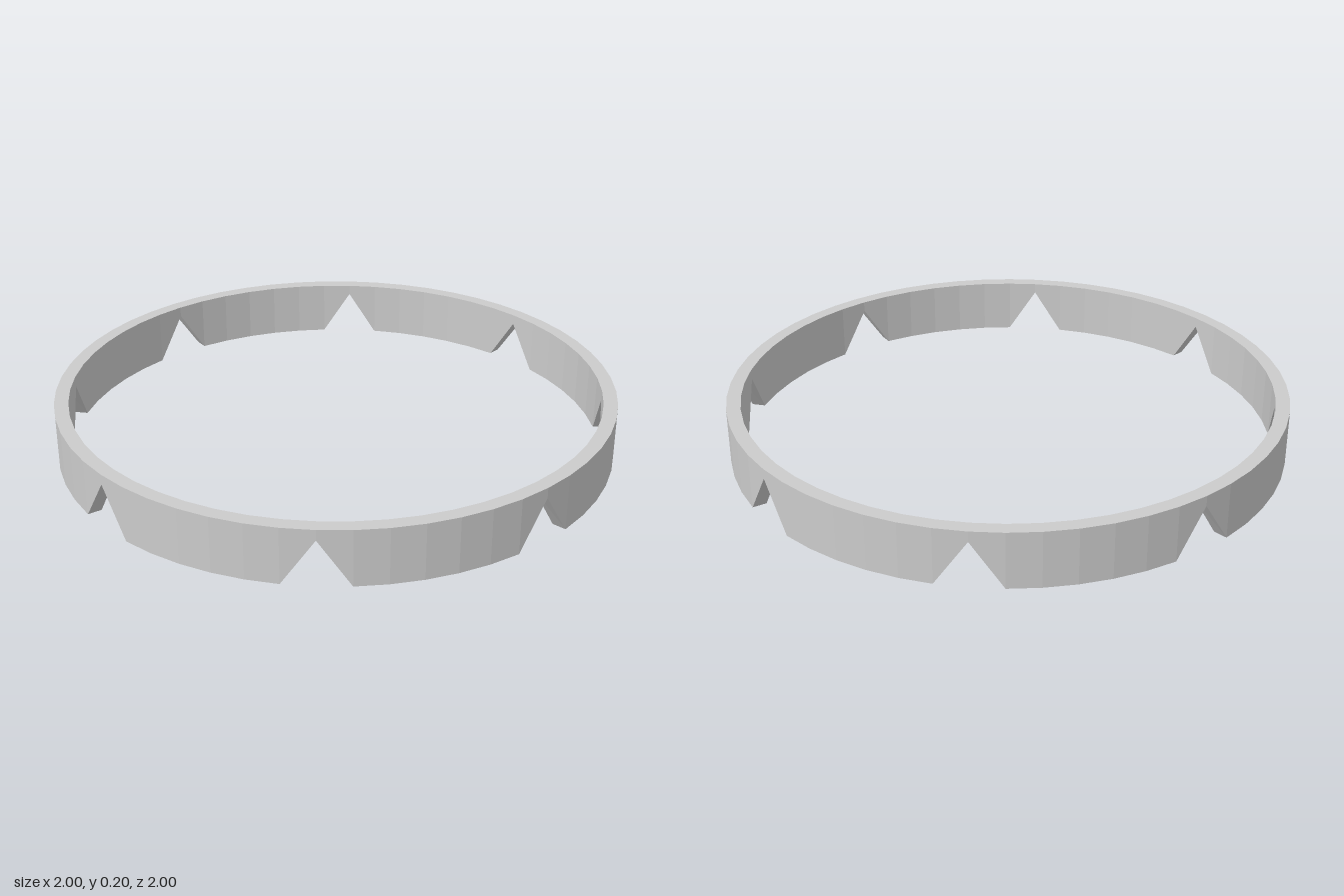
import * as THREE from 'three';

const SECTORS = 8;      // V-shaped notches around the ring
const PER_SECTOR = 7;   // facets per sector, two of them flank each notch
const OUTER = 1, INNER = 0.95, HEIGHT = 0.2, NOTCH = 0.163;

export function createModel() {
  const group = new THREE.Group();
  group.name = 'notchedRing';

  const count = SECTORS * PER_SECTOR;
  const positions = [], indices = [];

  // Four-point cross-section per column; the bottom rises at each notch peak
  for (let i = 0; i < count; i++) {
    const a = (i / count) * Math.PI * 2;
    const bottom = i % PER_SECTOR === 0 ? NOTCH : 0;
    const section = [[OUTER, bottom], [OUTER, HEIGHT], [INNER, HEIGHT], [INNER, bottom]];
    for (const [r, y] of section) positions.push(r * Math.sin(a), y, r * Math.cos(a));
  }

  // Join neighbouring cross-sections: outer wall, top, inner wall, underside
  for (let i = 0; i < count; i++) {
    const p = i * 4, q = ((i + 1) % count) * 4;
    for (let k = 0; k < 4; k++) {
      const n = (k + 1) % 4;
      indices.push(p + k, q + k, q + n, p + k, q + n, p + n);
    }
  }

  const indexed = new THREE.BufferGeometry();
  indexed.setAttribute('position', new THREE.Float32BufferAttribute(positions, 3));
  indexed.setIndex(indices);
  const geometry = indexed.toNonIndexed();
  geometry.computeVertexNormals();

  const ring = new THREE.Mesh(
    geometry,
    new THREE.MeshStandardMaterial({ color: 0xcccccc, flatShading: true })
  );
  ring.name = 'ringBand';
  group.add(ring);
  return group;
}
